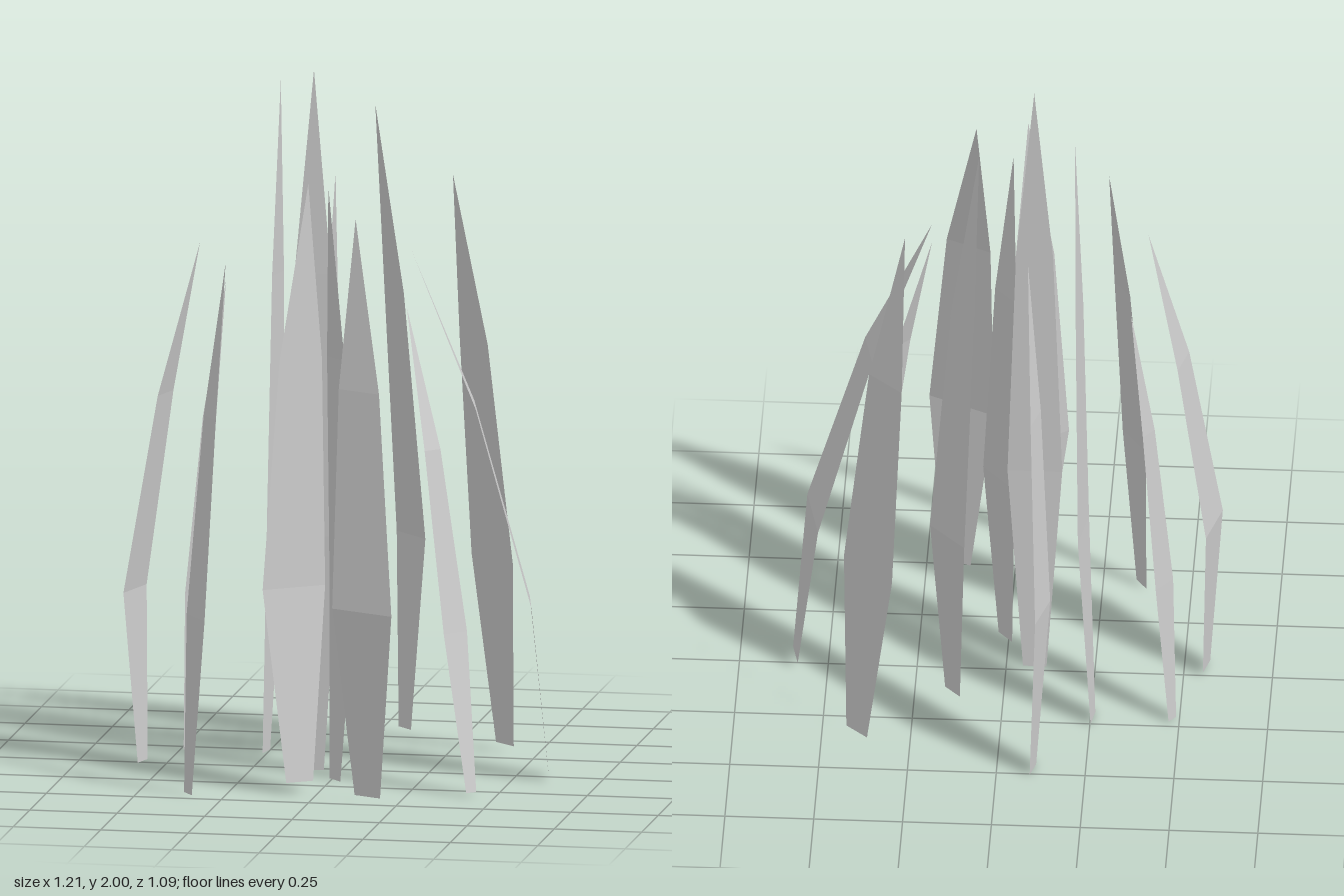
import * as THREE from 'three';

// One blade per row: base x, y, z | widest point x, z | half-width vector x, z | tip x, y, z
const BLADES = [
  [-0.102, 0.00, -0.478, -0.130, -0.489, 0.018, -0.059, -0.080, 1.645, -0.332],
  [0.401, 0.02, -0.350, 0.371, -0.316, 0.071, 0.064, 0.270, 1.665, -0.257],
  [-0.480, 0.00, -0.215, -0.457, -0.200, 0.023, -0.029, -0.361, 1.355, -0.161],
  [-0.257, 0.00, -0.222, -0.230, -0.218, 0.012, -0.069, -0.203, 1.940, -0.155],
  [0.138, 0.08, -0.227, 0.152, -0.247, 0.051, 0.053, 0.067, 1.880, -0.155],
  [-0.563, 0.01, 0.030, -0.585, 0.030, 0.020, -0.070, -0.400, 1.500, 0.025],
  [0.593, 0.02, 0.010, 0.545, 0.022, 0.020, 0.093, 0.210, 1.500, 0.045],
  [-0.080, 0.00, 0.020, -0.080, 0.026, 0.077, 0.000, -0.080, 2.000, -0.006],
  [0.010, 0.00, 0.155, 0.027, 0.130, 0.047, 0.054, -0.015, 1.690, 0.120],
  [0.431, 0.01, 0.318, 0.375, 0.262, 0.028, -0.028, 0.216, 1.360, 0.155],
  [-0.053, 0.03, 0.353, -0.079, 0.303, 0.079, -0.055, -0.050, 1.720, 0.238],
  [-0.358, 0.00, 0.430, -0.338, 0.420, 0.035, 0.050, -0.274, 1.500, 0.303],
  [0.165, 0.02, 0.483, 0.152, 0.498, 0.093, 0.044, 0.100, 1.640, 0.316],
];

// Flat leaf strip: narrow base, wide middle, tapering shoulder, pointed tip
function bladeGeometry([bx, by, bz, mx, mz, wx, wz, tx, ty, tz]) {
  const mix = THREE.MathUtils.lerp;
  const sections = [
    [bx, by, bz, 0.43],
    [mx, ty * 0.335, mz, 1],
    [mix(mx, tx, 0.47), ty * 0.71, mix(mz, tz, 0.47), 0.68],
  ];
  const positions = [];
  for (const [x, y, z, s] of sections) {
    positions.push(x - wx * s, y, z - wz * s, x + wx * s, y, z + wz * s);
  }
  positions.push(tx, ty, tz);

  const index = [];
  for (let i = 0; i < 4; i += 2) index.push(i, i + 1, i + 3, i, i + 3, i + 2);
  index.push(4, 5, 6);

  const geometry = new THREE.BufferGeometry();
  geometry.setAttribute('position', new THREE.Float32BufferAttribute(positions, 3));
  geometry.setIndex(index);
  const flat = geometry.toNonIndexed();
  flat.computeVertexNormals();
  return flat;
}

export function createModel() {
  const group = new THREE.Group();
  group.name = 'grassTuft';
  const material = new THREE.MeshStandardMaterial({
    color: 0xcccccc, flatShading: true, side: THREE.DoubleSide,
  });
  BLADES.forEach((row, i) => {
    const blade = new THREE.Mesh(bladeGeometry(row), material);
    blade.name = `grassBlade${i + 1}`;
    group.add(blade);
  });
  return group;
}
